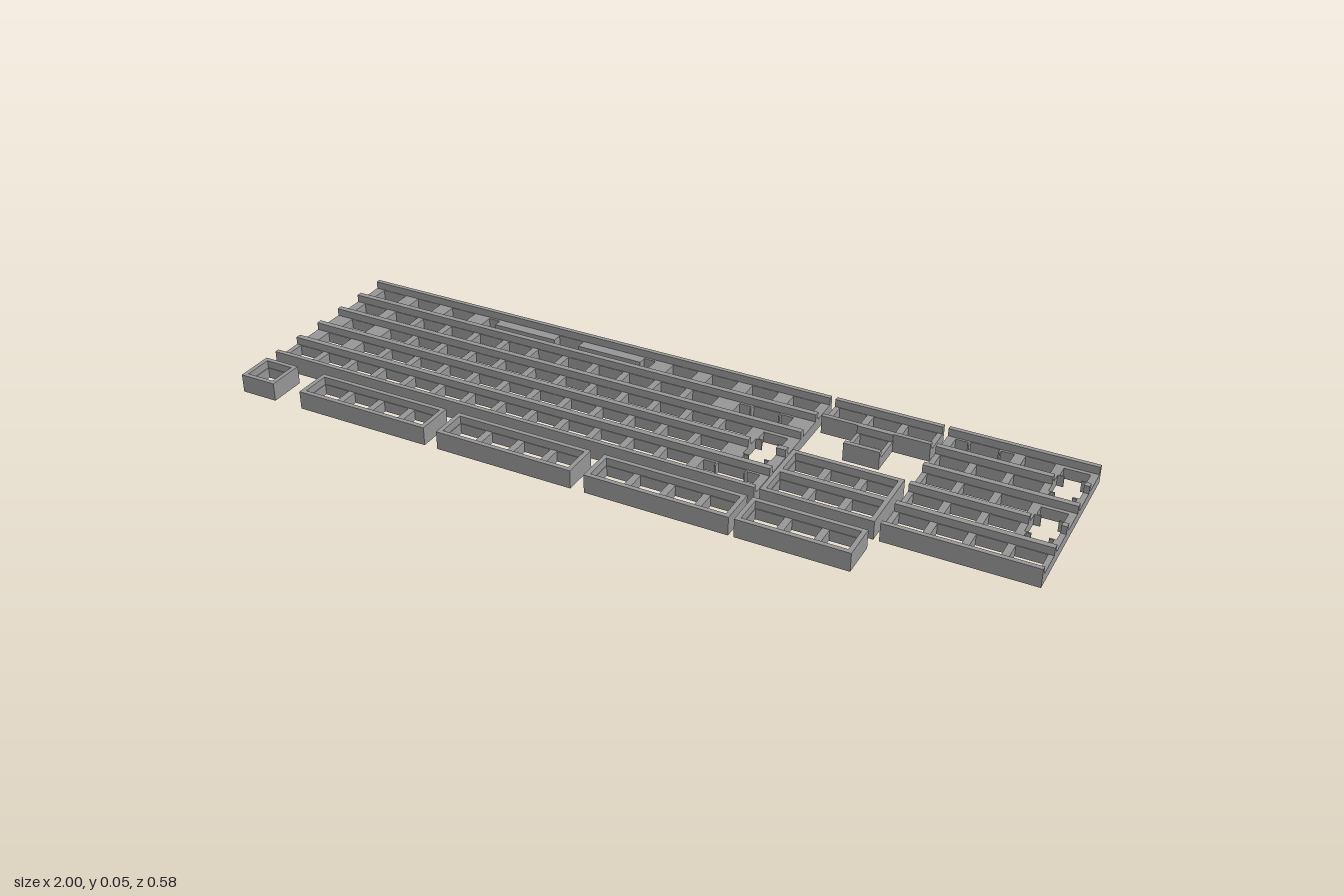
import * as THREE from 'three';

const U = 0.0885;       // key pitch
const M = 0.0044;       // rim outside the key grid
const FLOOR = 0.028;    // plate thickness
const TOP = 0.048;      // wall top
const T = 0.0145;       // wall thickness
const H = 0.0355;       // half a switch hole
const X = k => -1 + M + k * U;
const Z = r => -(6.5 * U) / 2 + r * U;

// Outline of a switch hole; with c it also gets stabiliser slots at distance c
function hole(x, z, c = 0, vertical = false, slot = 0.02) {
  let half = [[H, -H], [H, H]];
  if (c) {
    const a = c - 0.016, b = c + 0.016, s = 0.031;
    half = [[H, -H], [H, -slot], [a, -slot], [a, -s], [b, -s], [b, s], [a, s], [a, slot], [H, slot], [H, H]];
  }
  const pts = [...half, ...half.map(([p, q]) => [-p, -q])];
  return new THREE.Path(pts.map(([p, q]) =>
    vertical ? new THREE.Vector2(x + q, z + p) : new THREE.Vector2(x + p, z + q)));
}

// Row of plain keys, given start and widths in key units
function row(r, start, widths) {
  let k = start;
  return widths.map(w => {
    const h = hole(X(k + w / 2), Z(r + 0.5));
    k += w;
    return h;
  });
}
const ones = n => Array(n).fill(1);

export function createModel() {
  const model = new THREE.Group();
  const grey = new THREE.MeshStandardMaterial({ color: 0x999999 });
  grey.name = 'grey';

  function box(parent, name, x0, x1, z0, z1) {
    const mesh = new THREE.Mesh(new THREE.BoxGeometry(x1 - x0, TOP - FLOOR, z1 - z0), grey);
    mesh.position.set((x0 + x1) / 2, (TOP + FLOOR) / 2, (z0 + z1) / 2);
    mesh.name = name;
    parent.add(mesh);
  }

  // Plate with holes, walls between the rows and optional end walls.
  // cuts maps a row boundary to the x where a tall key interrupts the wall.
  function cluster(name, k0, k1, r0, r1, holes, { ends = false, cuts = {}, mx = M, back = M } = {}) {
    const g = new THREE.Group();
    g.name = name;
    const x0 = X(k0) - mx, x1 = X(k1) + mx, z0 = Z(r0) - back, z1 = Z(r1) + M;
    const shape = new THREE.Shape([[x0, z0], [x1, z0], [x1, z1], [x0, z1]].map(p => new THREE.Vector2(...p)));
    shape.holes = holes;
    const geo = new THREE.ExtrudeGeometry(shape, { depth: FLOOR, bevelEnabled: false });
    geo.rotateX(Math.PI / 2).translate(0, FLOOR, 0);
    const plate = new THREE.Mesh(geo, grey);
    plate.name = 'plate';
    g.add(plate);

    const inL = ends ? X(k0) + T / 2 : x0, inR = ends ? X(k1) - T / 2 : x1;
    for (let r = r0; r <= r1; r++) {
      const a = r === r0 ? z0 : Z(r) - T / 2;
      const b = r === r1 ? z1 : Z(r) + T / 2;
      if (cuts[r] !== undefined) {
        box(g, 'rowWall', inL, cuts[r] - H, a, b);
        box(g, 'rowWall', cuts[r] + H, inR, a, b);
      } else box(g, 'rowWall', inL, inR, a, b);
    }
    if (ends) {
      box(g, 'endWall', x0, inL, z0, z1);
      box(g, 'endWall', inR, x1, z0, z1);
    }
    model.add(g);
  }

  const C = 0.625 * U; // stabiliser distance of a double key

  // Main key field
  cluster('mainField', 0, 15, 0, 5, [
    ...row(0, 0, [1.25, 1.25, 1.25]),
    hole(X(6.875), Z(0.5), 2.62 * U, false, 0.009),
    ...row(0, 10, [1.25, 1.25, 1.25, 1.25]),
    ...row(1, 0, [1.25, ...ones(11)]),
    hole(X(13.625), Z(1.5), C),
    ...row(2, 0, [1.75, ...ones(12)]),
    ...row(3, 0, [1.5, ...ones(12)]),
    hole(X(14.375), Z(3), C, true),
    ...row(4, 0, ones(13)),
    hole(X(14), Z(4.5), C),
  ], { cuts: { 3: X(14.375) } });

  // Arrow keys
  cluster('arrowRow', 15.25, 18.25, 0, 1, row(0, 15.25, ones(3)));
  cluster('upArrow', 16.25, 17.25, 1, 2, row(1, 16.25, [1]), { mx: 0.001, back: -M });

  // Navigation keys
  cluster('navigationKeys', 15.25, 18.25, 3, 5,
    [...row(3, 15.25, ones(3)), ...row(4, 15.25, ones(3))], { ends: true });

  // Number pad
  cluster('numberPad', 18.5, 22.5, 0, 5, [
    hole(X(19.5), Z(0.5), C),
    ...row(0, 20.5, [1]),
    ...[1, 2, 3].flatMap(r => row(r, 18.5, ones(3))),
    ...row(4, 18.5, ones(4)),
    hole(X(22), Z(1), C, true),
    hole(X(22), Z(3), C, true),
  ], { cuts: { 1: X(22), 3: X(22) } });

  // Separate key blocks along the front
  for (const [k, n] of [[0, 1], [2, 4], [6.5, 4], [11, 4], [15.25, 3]]) {
    cluster('frontBlock', k, k + n, 5.5, 6.5, row(5.5, k, ones(n)), { ends: true });
  }
  return model;
}
